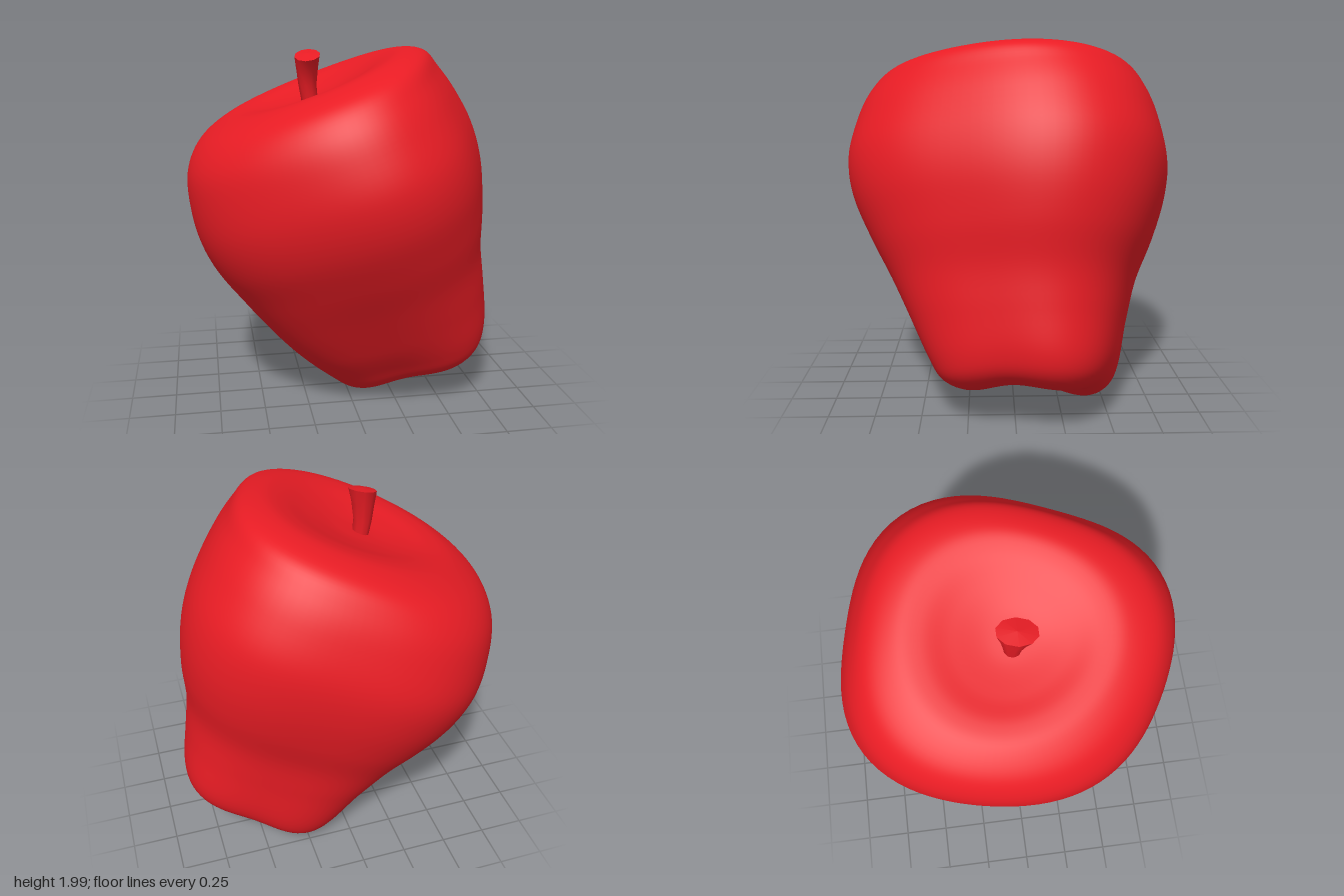
import * as THREE from 'three';

const TILT = THREE.MathUtils.degToRad(21);
const LOBE_ANGLE = THREE.MathUtils.degToRad(63);
const Z_AXIS = new THREE.Vector3(0, 0, 1);

// Skin a closed surface over rings listed from top to bottom; point(i, angle) gives a Vector3.
function skin(ringCount, sides, point) {
  const positions = [], index = [];
  for (let i = 0; i < ringCount; i++) {
    for (let j = 0; j < sides; j++) {
      const p = point(i, (j / sides) * Math.PI * 2);
      positions.push(p.x, p.y, p.z);
      if (i === ringCount - 1) continue;
      const a = i * sides + j, b = i * sides + (j + 1) % sides;
      index.push(a, b, a + sides, b, b + sides, a + sides);
    }
  }
  const geometry = new THREE.BufferGeometry();
  geometry.setAttribute('position', new THREE.Float32BufferAttribute(positions, 3));
  geometry.setIndex(index);
  geometry.computeVertexNormals();
  return geometry;
}

// Fruit profile along its own axis: [radius, height, sideways offset, z offset, z stretch, lobe strength]
const profile = [
  [0.00, 0.75, 0.12, 0.00, 1.05, 0.00],
  [0.13, 0.755, 0.12, 0.00, 1.05, 0.00],
  [0.28, 0.78, 0.12, 0.00, 1.05, 0.00],
  [0.42, 0.81, 0.13, 0.00, 1.05, 0.005],
  [0.54, 0.81, 0.125, 0.00, 1.06, 0.01],
  [0.675, 0.755, 0.10, 0.00, 1.07, 0.02],
  [0.755, 0.65, 0.066, 0.00, 1.08, 0.03],
  [0.81, 0.50, 0.058, 0.00, 1.08, 0.035],
  [0.845, 0.29, 0.058, 0.00, 1.08, 0.04],
  [0.83, 0.08, 0.06, 0.00, 1.06, 0.04],
  [0.765, -0.15, 0.063, -0.01, 1.03, 0.04],
  [0.68, -0.37, 0.06, -0.02, 1.00, 0.045],
  [0.61, -0.58, 0.08, -0.04, 0.98, 0.05],
  [0.53, -0.80, 0.11, -0.06, 0.97, 0.055],
  [0.455, -0.91, 0.11, -0.06, 0.97, 0.055],
  [0.34, -0.955, 0.09, -0.07, 0.97, 0.055],
  [0.20, -0.93, 0.10, -0.07, 0.97, 0.03],
  [0.09, -0.905, 0.10, -0.07, 1.00, 0.01],
  [0.00, -0.90, 0.10, -0.07, 1.00, 0.00],
];

// Smoothly resample three profile columns at a time
function resample(columns, count) {
  const curve = new THREE.CatmullRomCurve3(
    profile.map((row) => new THREE.Vector3(...columns.map((c) => row[c]))), false, 'catmullrom', 0.5);
  return Array.from({ length: count }, (_, i) => curve.getPoint(i / (count - 1)));
}

// Tilted, softly four-cornered fruit with a dimple at both ends
function makeFruit() {
  const count = 109;
  const main = resample([0, 1, 2], count), extra = resample([3, 4, 5], count);
  return skin(count, 96, (i, angle) => {
    const { x: radius, y: height, z: offset } = main[i];
    const { x: zOffset, y: zStretch, z: lobe } = extra[i];
    const wave = lobe * Math.cos(4 * (angle - LOBE_ANGLE));
    // The upper body is fuller at its back corners than at its front ones
    const fullness = -0.026 * (Math.sin(angle) + Math.sin(3 * angle))
      * THREE.MathUtils.smoothstep(height, -0.6, 0);
    const r = Math.max(radius, 0) * (1 + wave + fullness);
    const z = zOffset + r * zStretch * Math.sin(angle);
    // Around the base the lobes reach further down, unevenly, and the front sits a little higher
    const base = THREE.MathUtils.smoothstep(-height, 0.6, 0.9);
    const twist = 0.04 * r * Math.cos(2 * (angle - LOBE_ANGLE));
    const drop = base * (0.25 * wave + twist - 0.07 * z);
    const p = new THREE.Vector3(offset + r * Math.cos(angle), height - drop, z);
    p.applyAxisAngle(Z_AXIS, TILT);
    p.y += 1;
    return p;
  });
}

// Stem flaring towards a slanted cut end
function makeStem() {
  // [x, y, z, x radius, z radius, slope of the ring]; the doubled rim keeps the cut end crisp
  const rings = [
    [-0.21, 1.97, 0.02, 0, 0, 1],
    [-0.21, 1.96, 0.02, 0.07, 0.105, 1],
    [-0.21, 1.96, 0.02, 0.07, 0.105, 1],
    [-0.21, 1.89, 0.01, 0.06, 0.075, 0.5],
    [-0.208, 1.8, 0, 0.05, 0.052, 0],
    [-0.195, 1.7, 0, 0.045, 0.045, 0],
  ];
  return skin(rings.length, 10, (i, angle) => {
    const [x, y, z, rx, rz, slope] = rings[i];
    const dx = rx * Math.cos(angle), dz = rz * Math.sin(angle);
    return new THREE.Vector3(x + dx, y + slope * (0.15 * dx - 0.25 * dz), z + dz);
  });
}

export function createModel() {
  const group = new THREE.Group();
  group.name = 'apple';
  const red = new THREE.MeshStandardMaterial({ color: 0xe81c24 });

  const fruit = new THREE.Mesh(makeFruit(), red);
  fruit.name = 'fruit';
  const stem = new THREE.Mesh(makeStem(), red);
  stem.name = 'stem';

  group.add(fruit, stem);
  return group;
}
